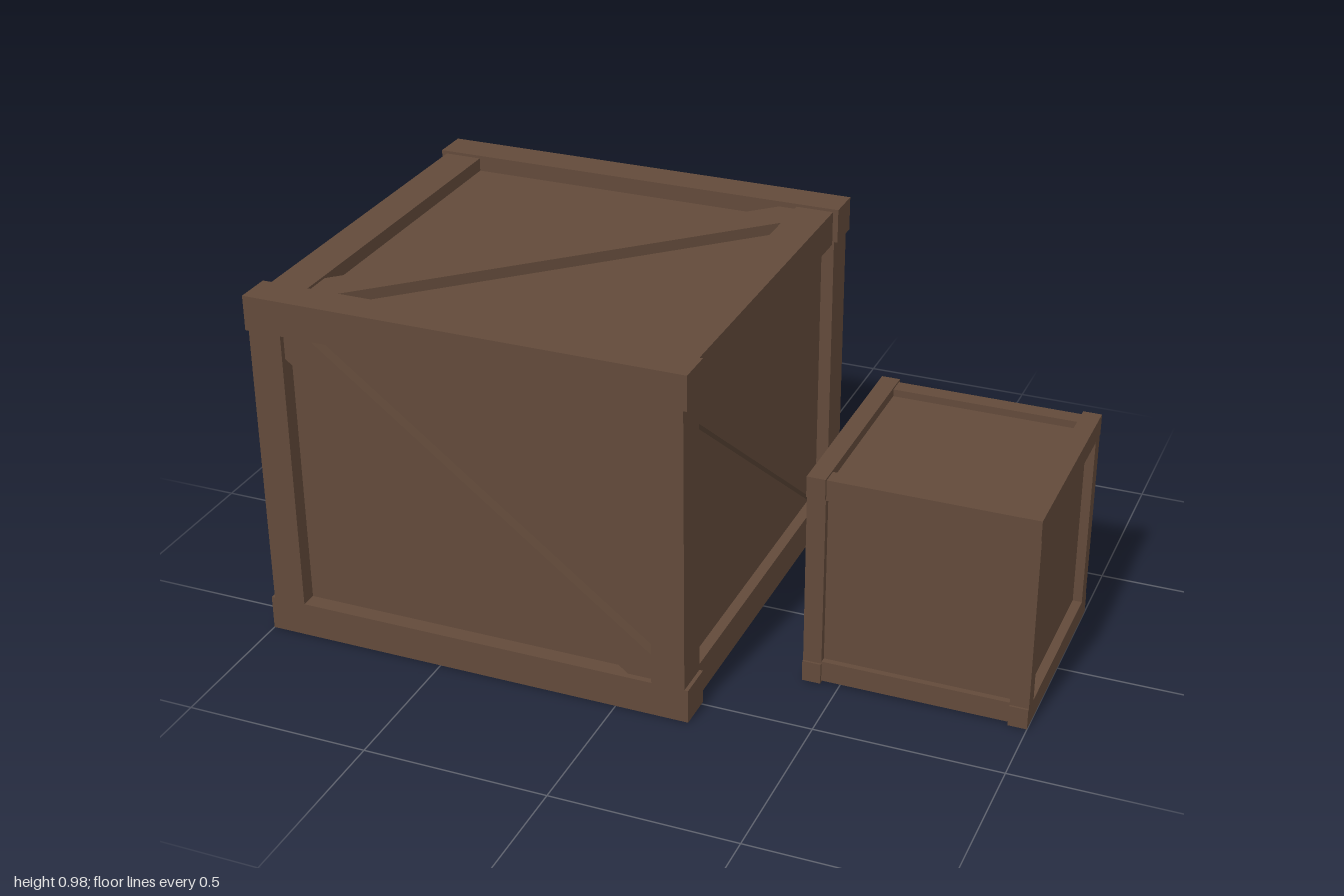
import * as THREE from 'three';

const wood = new THREE.MeshStandardMaterial({ color: 0x624a3a });
wood.name = 'darkWood';

function box(parent, name, size, pos) {
  const mesh = new THREE.Mesh(new THREE.BoxGeometry(...size), wood);
  mesh.name = name;
  mesh.position.set(...pos);
  parent.add(mesh);
}

// Framed crate: long beams run along x, lap the slightly inset posts and cross beams
function crate(name, { L, H, D, t, tall, postInset, crossInset, crossWidth, crossLift, recess }) {
  const g = new THREE.Group();
  g.name = name;
  box(g, 'panels', [L - 2 * recess, H - 2 * recess, D - 2 * recess], [0, H / 2, 0]);
  for (const s of [-1, 1]) {
    for (const r of [-1, 1]) {
      box(g, 'longBeam', [L, tall, t], [0, H / 2 + r * (H - tall) / 2, s * (D - t) / 2]);
      box(g, 'post', [t - postInset, H - 2 * tall, t],
        [r * (L / 2 - (t + postInset) / 2), H / 2, s * (D - t) / 2]);
      box(g, 'crossBeam', [crossWidth, tall, D - 2 * t],
        [s * (L / 2 - crossInset - crossWidth / 2), H / 2 + r * ((H - tall) / 2 - crossLift), 0]);
    }
  }
  return g;
}

// Diagonal plank whose pointed ends fill two opposite corners of a 2a x 2b opening
function brace(parent, a, b, p, q, flip, rotation, centre, out, depth) {
  const points = [[-a, b], [-a, b - q], [a - p, -b], [a, -b], [a, q - b], [p - a, b]];
  const shape = new THREE.Shape(points.map(([x, y]) => new THREE.Vector2(flip * x, y)));
  const geo = new THREE.ExtrudeGeometry(shape, { depth, bevelEnabled: false });
  const mesh = new THREE.Mesh(geo, wood);
  mesh.name = 'diagonalBrace';
  geo.translate(0, 0, out);
  mesh.rotation.set(...rotation);
  mesh.position.set(0, centre, 0);
  parent.add(mesh);
}

export function createModel() {
  const model = new THREE.Group();
  model.name = 'crates';

  const L = 1.2, H = 0.977, D = 1.18, recess = 0.045, raise = 0.03;
  const large = crate('largeCrate', {
    L, H, D, recess, t: 0.1, tall: 0.095,
    postInset: 0.01, crossInset: 0.015, crossWidth: 0.105, crossLift: 0.008,
  });
  large.position.x = -0.4;
  // Braces on all six faces
  const q = Math.PI / 2, mid = H / 2;
  for (const turn of [0, 2 * q]) {
    brace(large, 0.5, 0.392, 0.07, 0.068, 1, [0, turn, 0], mid, D / 2 - recess, raise);
  }
  for (const turn of [q, -q]) {
    brace(large, 0.49, 0.386, 0.065, 0.072, 1, [0, turn, 0], mid, L / 2 - recess, raise);
  }
  brace(large, 0.48, 0.49, 0.05, 0.1, -1, [-q, 0, 0], mid, H / 2 - recess, raise);
  brace(large, 0.48, 0.49, 0.05, 0.1, 1, [q, 0, 0], mid, H / 2 - recess, raise);

  // Small plain crate, turned a quarter so its long beams run front to back
  const small = crate('smallCrate', {
    L: 0.6, H: 0.602, D: 0.6, recess: 0.025, t: 0.05, tall: 0.058,
    postInset: 0.006, crossInset: 0.008, crossWidth: 0.047, crossLift: 0.005,
  });
  small.rotation.y = q;
  small.position.x = 0.7;

  model.add(large, small);
  return model;
}
